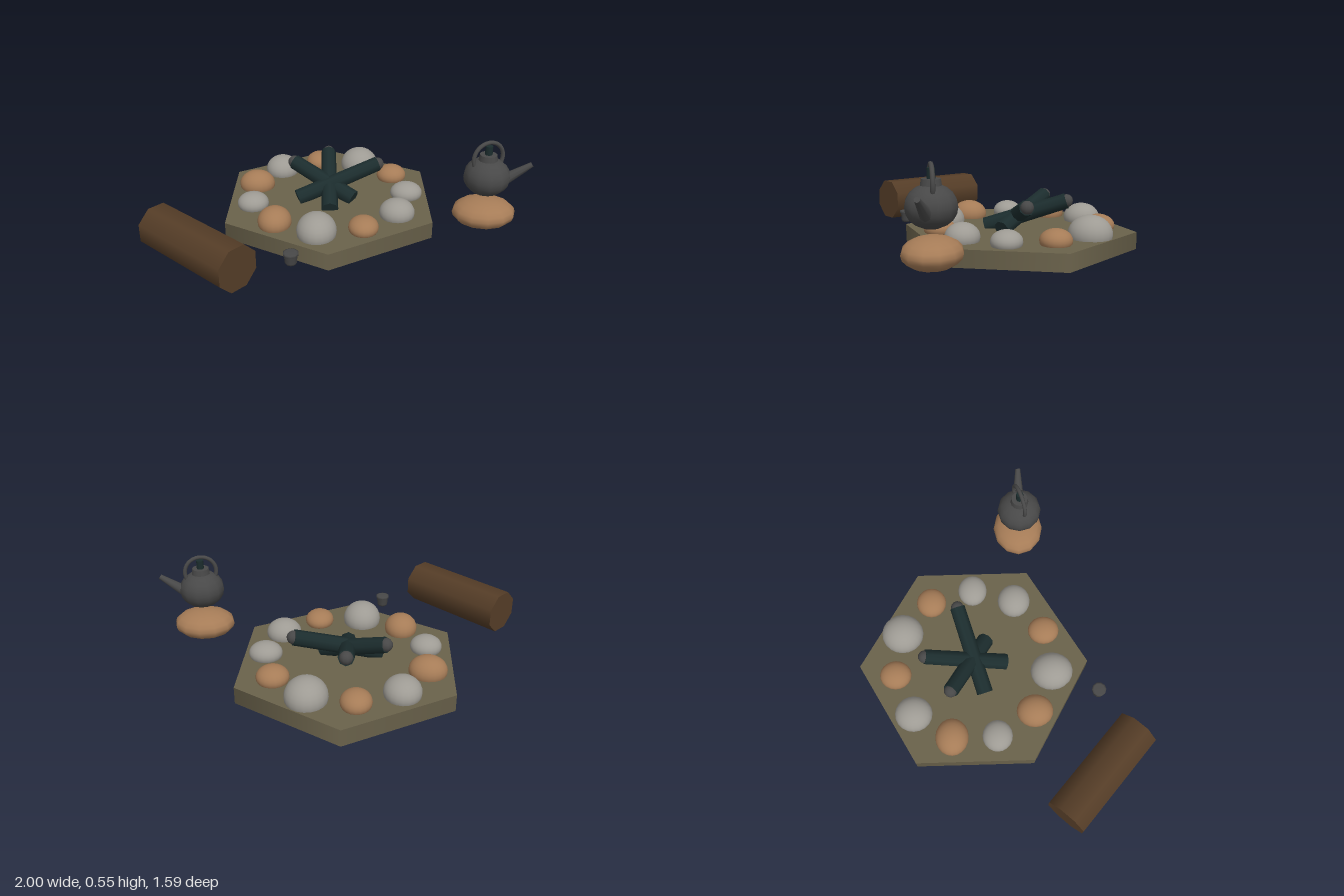
import * as THREE from 'three';

function material(name, color, extra = {}) {
  const m = new THREE.MeshStandardMaterial({ color, ...extra });
  m.name = name;
  return m;
}

export function createModel() {
  const group = new THREE.Group();
  const earth = material('earth', 0x6a624b);
  const greyStone = material('grey stone', 0x9e9b94);
  const tanStone = material('tan stone', 0xa67c57);
  const bark = material('bark', 0x553d27);
  const charred = material('charred wood', 0x1c2d2e);
  const iron = material('iron', 0x484848);

  const add = (name, geometry, mat, x = 0, y = 0, z = 0, parent = group) => {
    const mesh = new THREE.Mesh(geometry, mat);
    mesh.name = name;
    mesh.position.set(x, y, z);
    parent.add(mesh);
    return mesh;
  };
  const lathe = (points, sides) =>
    new THREE.LatheGeometry(points.map(([r, y]) => new THREE.Vector2(r, y)), sides);
  // Tapered cylinder running between two points
  const rod = (name, a, b, ra, rb, sides, mat, parent = group) => {
    const from = new THREE.Vector3(...a), to = new THREE.Vector3(...b);
    const dir = to.clone().sub(from);
    const mesh = add(name, new THREE.CylinderGeometry(rb, ra, dir.length(), sides), mat, 0, 0, 0, parent);
    mesh.position.copy(from).lerp(to, 0.5);
    mesh.quaternion.setFromUnitVectors(new THREE.Vector3(0, 1, 0), dir.normalize());
    return mesh;
  };

  // Hexagonal ground slab
  const cx = -0.06, cz = -0.16;
  add('ground', new THREE.CylinderGeometry(0.636, 0.636, 0.092, 6), earth, cx, 0.046, cz);

  // Ring of stones: half sizes x, y, z, starting at +x and going towards +z
  const sizes = [
    [0.09, 0.06, 0.082], [0.096, 0.075, 0.092], [0.08, 0.056, 0.087], [0.105, 0.095, 0.117],
    [0.09, 0.077, 0.1], [0.086, 0.06, 0.082], [0.101, 0.077, 0.09], [0.097, 0.08, 0.102],
    [0.08, 0.06, 0.087], [0.11, 0.098, 0.116], [0.086, 0.06, 0.084],
  ];
  const ball = new THREE.SphereGeometry(1, 20, 14);
  sizes.forEach((size, i) => {
    const a = (i / sizes.length) * Math.PI * 2;
    const tan = i % 2 === 0 && i > 0;
    add('ringStone', ball, tan ? tanStone : greyStone,
      cx + 0.436 * Math.cos(a), 0.113, cz + 0.436 * Math.sin(a)).scale.set(...size);
  });

  // Charred firewood with burnt tips
  const firewood = [
    [[-0.055, 0.1, 0.02], [-0.065, 0.25, -0.42]],
    [[0.075, 0.11, -0.09], [-0.26, 0.25, -0.28]],
    [[-0.235, 0.11, -0.1], [0.215, 0.255, -0.24]],
  ];
  for (const [low, high] of firewood) {
    rod('firewood', low, high, 0.046, 0.042, 8, charred);
    add('burntTip', new THREE.SphereGeometry(0.036, 10, 8), iron, ...high);
  }

  // Log seat lying beside the fire
  const seat = new THREE.CylinderGeometry(0.12, 0.12, 0.612, 8);
  seat.rotateY(Math.PI / 8);
  seat.rotateZ(Math.PI / 2);
  add('logSeat', seat, bark, -0.698, 0.161, 0.503).rotation.y = -Math.atan2(0.41, 0.455);

  // Small cup
  add('cup', lathe([[0, 0], [0.024, 0], [0.031, 0.012], [0.034, 0.05], [0.039, 0.052],
    [0.039, 0.064], [0.03, 0.066], [0, 0.066]], 10), iron, -0.24, 0.072, 0.525);

  // Flat stone under the kettle
  add('kettleStone', new THREE.SphereGeometry(1, 12, 10), tanStone, 0.763, 0.138, 0.115)
    .scale.set(0.168, 0.078, 0.143);

  // Kettle: body, lid, knob, spout and hoop handle
  const kettle = new THREE.Group();
  kettle.name = 'kettle';
  kettle.position.set(0.763, 0.347, 0.118);
  group.add(kettle);
  add('kettleBody', new THREE.SphereGeometry(1, 12, 10), iron, 0, 0, 0, kettle)
    .scale.set(0.122, 0.102, 0.122);
  add('kettleLid', new THREE.CylinderGeometry(0.045, 0.05, 0.03, 12), iron, 0, 0.108, 0, kettle);
  add('lidKnob', new THREE.CylinderGeometry(0.02, 0.02, 0.05, 8), charred, 0, 0.145, 0, kettle);
  rod('spout', [0.085, -0.025, 0], [0.23, 0.066, 0], 0.033, 0.014, 8, iron, kettle);
  const hoop = new THREE.TorusGeometry(0.085, 0.011, 8, 20, Math.PI + 0.9);
  hoop.rotateZ(-0.45);
  add('kettleHandle', hoop, iron, 0, 0.103, 0, kettle).rotation.y = 0.34;

  return group;
}
